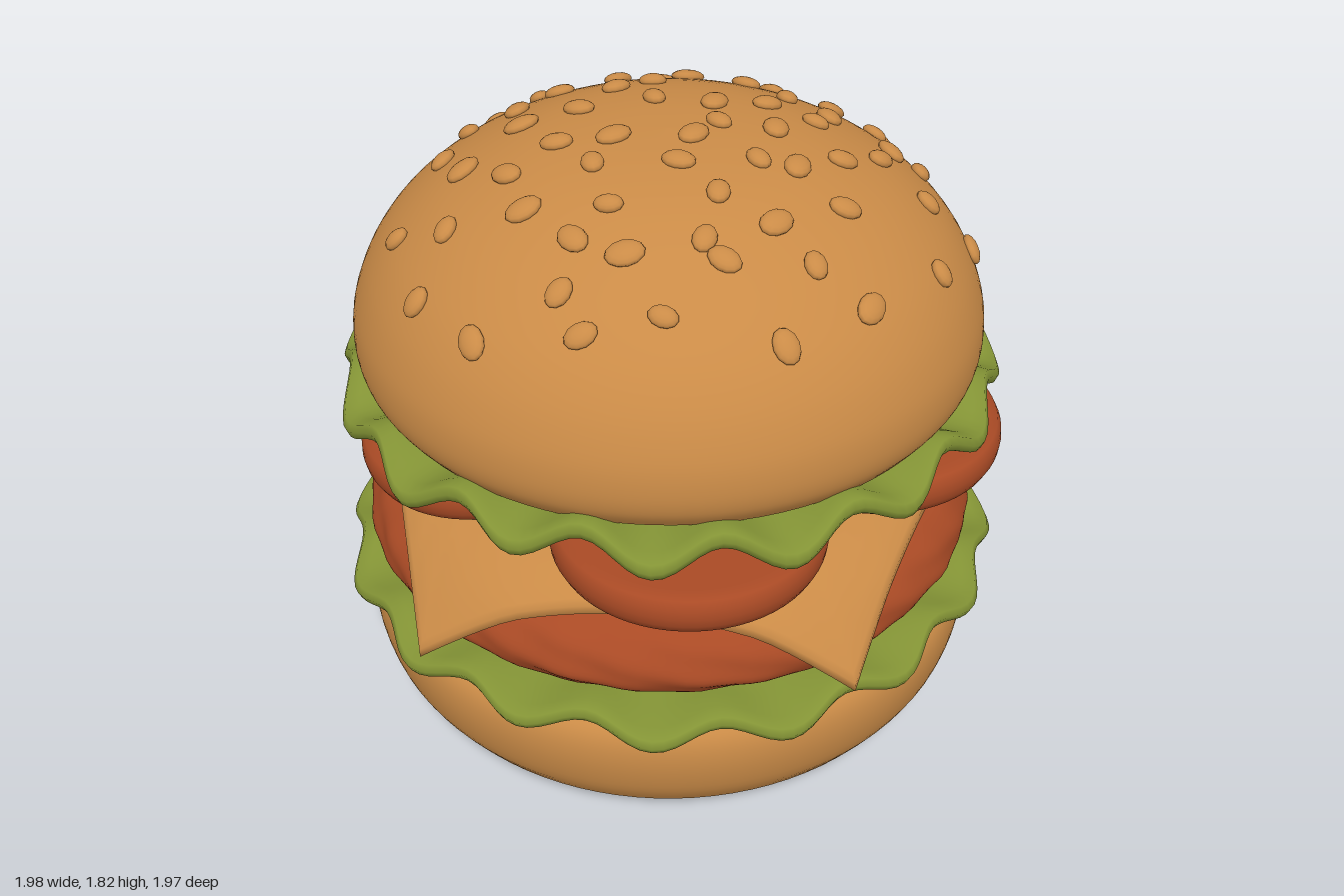
import * as THREE from 'three';
import { mergeVertices } from 'three/addons/utils/BufferGeometryUtils.js';

const material = (name, color) => {
  const m = new THREE.MeshStandardMaterial({ color });
  m.name = name;
  return m;
};

// Smooth profile through a few [radius, height] points, listed bottom to top
const smooth = (pts, n = 24) =>
  new THREE.SplineCurve(pts.map(p => new THREE.Vector2(...p))).getPoints(n)
    .map(p => new THREE.Vector2(Math.max(p.x, 0), p.y));

// Lathe whose vertices can be moved by rule(radius, height, angle) -> [radius, height]
function turned(points, segments, rule) {
  let g = new THREE.LatheGeometry(points, segments);
  if (!rule) return g;
  const p = g.attributes.position;
  for (let i = 0; i < p.count; i++) {
    const a = Math.atan2(p.getX(i), p.getZ(i));
    const [r, y] = rule(Math.hypot(p.getX(i), p.getZ(i)), p.getY(i), a);
    p.setXYZ(i, r * Math.sin(a), y, r * Math.cos(a));
  }
  g.deleteAttribute('uv');
  g.deleteAttribute('normal');
  g = mergeVertices(g, 1e-4);
  g.computeVertexNormals();
  return g;
}

// Piecewise linear lookup in [x, y] pairs
function lookup(table, x) {
  for (let i = 1; i < table.length; i++) {
    const [x0, y0] = table[i - 1], [x1, y1] = table[i];
    if (x <= x1) return y0 + (y1 - y0) * (x - x0) / (x1 - x0);
  }
  return table[table.length - 1][1];
}

export function createModel() {
  const group = new THREE.Group();
  const bread = material('golden bread and cheese', 0xca8b47);
  const red = material('tomato and meat red', 0xa94a25);
  const green = material('lettuce green', 0x839335);
  const add = (name, geometry, mat, parent = group) => {
    const mesh = new THREE.Mesh(geometry, mat);
    mesh.name = name;
    parent.add(mesh);
    return mesh;
  };

  // Bottom bun with its toasted underside
  add('bottomBunBase', turned(smooth([[0, 0], [0.3, 0.008], [0.58, 0.03], [0.76, 0.07], [0.85, 0.125]]), 96), red);
  add('bottomBun', turned(smooth([[0.85, 0.125], [0.9, 0.21], [0.922, 0.32], [0.91, 0.41],
    [0.86, 0.455], [0.75, 0.465], [0, 0.465]]), 96), bread);

  // Wavy lettuce leaves: ruffles grow towards the rim
  const lettuce = (name, y0, radius, thick, wave, spread, lift) => {
    const section = [[0, -1], [0.55, -1], [0.7, -1], [0.8, -1], [0.88, -1], [0.95, -1], [0.99, -0.7], [1, 0],
      [0.99, 0.7], [0.95, 1], [0.88, 1], [0.8, 1], [0.7, 1], [0.55, 1], [0, 1]];
    add(name, turned(section.map(p => new THREE.Vector2(...p)), 192, (t, side, a) => {
      const k = THREE.MathUtils.smoothstep(t, 0.72, 1);
      const ripple = -Math.cos(16 * a);
      const small = Math.sin(5 * a + 1) * 0.2;
      return [
        t * radius + k * spread * (ripple + small),
        y0 + side * thick * (0.7 + 0.3 * k) + k * (lift - wave * (ripple + small)),
      ];
    }), green);
  };
  lettuce('bottomLettuce', 0.49, 0.965, 0.03, 0.022, 0.022, 0);
  lettuce('topLettuce', 1.075, 0.935, 0.034, 0.036, 0.02, 0.015);

  // Meat patty with a slightly lumpy surface
  add('patty', turned(smooth([[0, 0.5], [0.7, 0.5], [0.82, 0.53], [0.885, 0.59], [0.9, 0.64],
    [0.87, 0.71], [0.8, 0.76], [0.65, 0.8], [0, 0.81]], 36), 128, (r, y, a) => [
    r + (r > 0.6 ? 0.006 * Math.sin(23 * a + 40 * y) * Math.sin(9 * a - 31 * y) : 0), y]), red);

  // Five-cornered cheese slice draped over the patty
  const drape = [[0, 0.89], [0.62, 0.89], [0.7, 0.88], [0.76, 0.86], [0.82, 0.82], [0.88, 0.77], [0.95, 0.68], [1.02, 0.595]];
  const cheeseSide = [0, 0.4, 0.6, 0.7, 0.76, 0.82, 0.88, 0.94, 0.985];
  const cheeseSection = [...cheeseSide.map(t => [t, -0.042]), [1, -0.034], [1, -0.008],
    ...cheeseSide.slice().reverse().map(t => [t, 0])];
  add('cheeseSlice', turned(cheeseSection.map(p => new THREE.Vector2(...p)), 120, (t, y, a) => {
    const step = Math.PI * 2 / 5, corner = THREE.MathUtils.degToRad(21);
    const d = THREE.MathUtils.euclideanModulo(a - corner, step) - step / 2;
    const r = t * 0.815 / Math.cos(d);
    return [r, lookup(drape, r) + y];
  }), bread);

  // Tomato slices: x, y, z, sideways tilt
  const slice = turned([[0, -0.06], [0.33, -0.06], [0.36, -0.05], [0.372, -0.025], [0.375, 0],
    [0.372, 0.025], [0.36, 0.05], [0.33, 0.06], [0, 0.06]].map(p => new THREE.Vector2(...p)), 64);
  [[-0.04, 0.94, 0.62, 0], [0.55, 0.94, 0.24, 0], [0.17, 0.94, -0.45, 0], [-0.53, 0.93, 0.08, 0.09]]
    .forEach(([x, y, z, tilt], i) => {
      const m = add('tomatoSlice' + (i + 1), slice, red);
      m.position.set(x, y, z);
      m.rotation.z = tilt;
    });

  // Top bun: toasted underside and dome
  add('topBunUnderside', turned(smooth([[0, 1.09], [0.7, 1.09], [0.8, 1.1], [0.845, 1.125]], 12), 96), red);
  const dome = smooth([[0.845, 1.125], [0.88, 1.18], [0.89, 1.25], [0.875, 1.34], [0.825, 1.45],
    [0.74, 1.555], [0.6, 1.66], [0.4, 1.75], [0.2, 1.79], [0, 1.8]], 48);
  add('topBun', turned(dome, 96), bread);

  // Sesame seeds scattered over the dome (x, z)
  const spots = [
    [-0.21, -0.73], [-0.43, -0.62], [-0.3, -0.57], [-0.07, -0.54], [0.08, -0.66], [0.29, -0.66], [0.39, -0.52],
    [0.55, -0.55], [0.13, -0.49], [-0.25, -0.45], [-0.52, -0.37], [-0.38, -0.35], [-0.1, -0.33], [0.01, -0.37],
    [0.29, -0.42], [0.38, -0.27], [0.53, -0.35], [0.68, -0.35], [0.64, -0.26], [0.48, -0.17], [-0.6, -0.2],
    [-0.38, -0.18], [-0.22, -0.19], [-0.01, -0.2], [0.15, -0.15], [0.3, -0.16], [0.42, -0.08], [0.64, -0.08],
    [0.73, -0.08], [-0.55, -0.05], [-0.3, 0], [0.14, -0.02], [0.29, 0.01], [0.58, 0.03], [-0.74, 0.06],
    [-0.44, 0.08], [-0.22, 0.14], [0.06, 0.05], [0.45, 0.12], [0.69, 0.14], [0.83, 0.13], [-0.61, 0.18],
    [-0.41, 0.25], [0, 0.18], [0.21, 0.18], [0.31, 0.2], [-0.7, 0.33], [-0.2, 0.32], [-0.3, 0.4], [0.08, 0.32],
    [0.21, 0.42], [0.41, 0.33], [0.66, 0.4], [-0.57, 0.53], [-0.35, 0.53], [-0.18, 0.48], [0.06, 0.53],
    [0.29, 0.53], [0.42, 0.6], [-0.31, 0.64], [-0.11, 0.65], [0.18, 0.72], [0.02, 0.47], [-0.15, 0.02]];
  const table = dome.filter(p => p.y > 1.25).map(p => [p.x, p.y]).reverse();
  const seed = new THREE.SphereGeometry(1, 12, 8);
  const seeds = new THREE.Group();
  seeds.name = 'sesameSeeds';
  group.add(seeds);
  const up = new THREE.Vector3(0, 1, 0);
  spots.forEach(([x, z], i) => {
    const r = Math.hypot(x, z), e = 0.01;
    const slope = (lookup(table, r + e) - lookup(table, r - e)) / (2 * e);
    const normal = new THREE.Vector3(-slope * x / r, 1, -slope * z / r).normalize();
    const m = add('seed', seed, bread, seeds);
    m.position.set(x, lookup(table, r), z).addScaledVector(normal, 0.006);
    m.quaternion.setFromUnitVectors(up, normal);
    m.rotateY(i * 2.4);
    const s = 0.85 + 0.3 * ((i * 0.618) % 1);
    m.scale.set(0.046 * s, 0.02, 0.034 * s);
  });

  return group;
}
